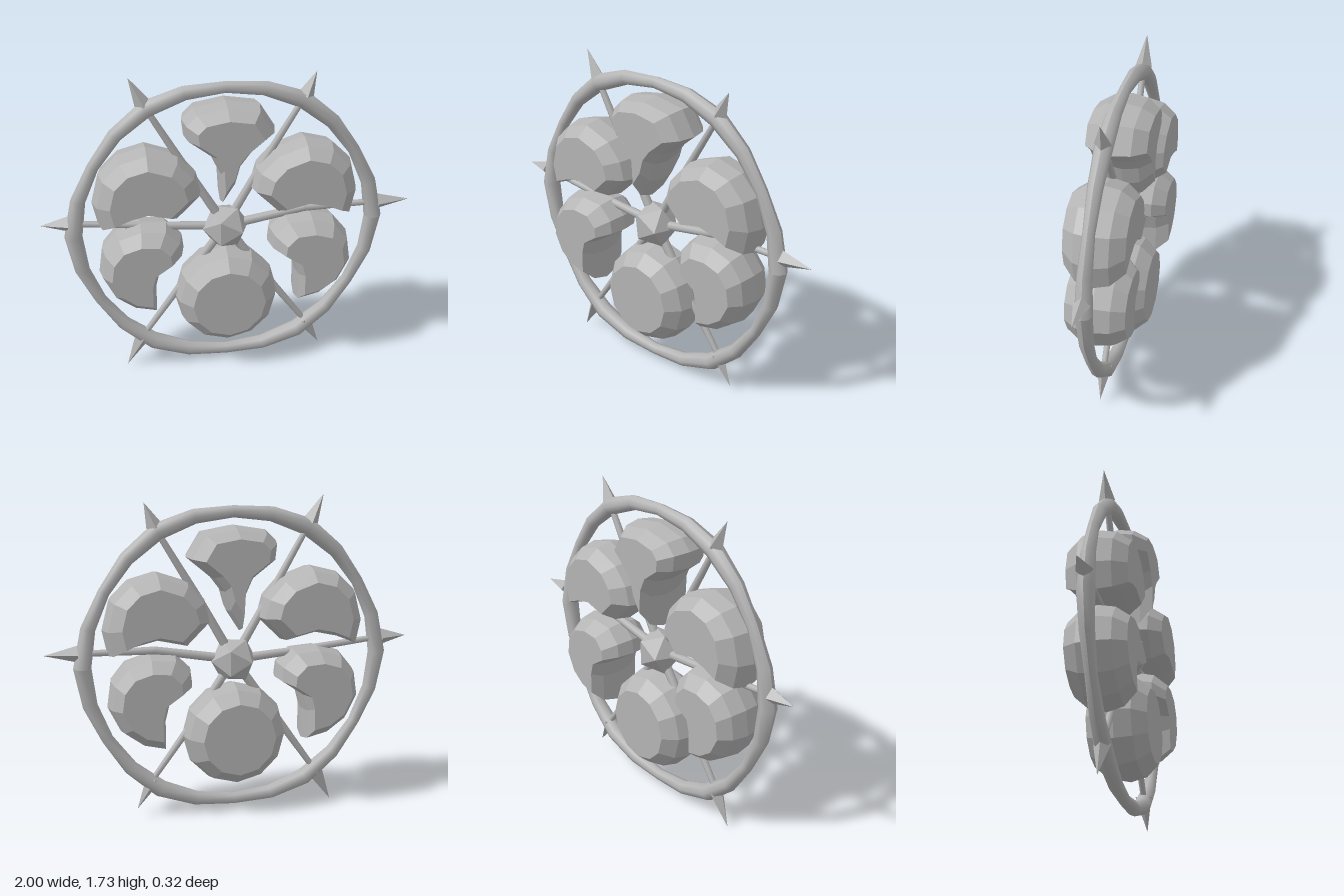
import * as THREE from 'three';

const stone = new THREE.MeshStandardMaterial({ color: 0xb4b4b4 });
stone.name = 'grey';

function addMesh(parent, name, geometry) {
  const mesh = new THREE.Mesh(geometry, stone);
  mesh.name = name;
  parent.add(mesh);
  return mesh;
}

function flat(geometry) {
  const g = geometry.index ? geometry.toNonIndexed() : geometry;
  g.computeVertexNormals();
  return g;
}

// Tapered rod between two points
function rod(parent, name, a, b, r0, r1, sides, isFlat) {
  const from = new THREE.Vector3(a[0], a[1], 0);
  const dir = new THREE.Vector3(b[0], b[1], 0).sub(from);
  let g = new THREE.CylinderGeometry(r1, r0, dir.length(), sides);
  if (isFlat) g = flat(g);
  const mesh = addMesh(parent, name, g);
  mesh.position.copy(from).addScaledVector(dir, 0.5);
  mesh.quaternion.setFromUnitVectors(new THREE.Vector3(0, 1, 0), dir.normalize());
}

// Bevelled lobe: an outline shrunk toward its centre in layers, with flat caps
function lobeGeometry(outline, [cx, cy]) {
  const layers = [[-0.16, 0.7], [-0.09, 0.925], [0, 1], [0.09, 0.925], [0.16, 0.7]];
  const n = outline.length;
  const positions = [];
  const index = [];
  for (const [z, s] of layers) {
    for (const [x, y] of outline) positions.push(cx + (x - cx) * s, cy + (y - cy) * s, z);
  }
  for (let k = 0; k < layers.length - 1; k++) {
    for (let i = 0; i < n; i++) {
      const a = k * n + i, b = k * n + (i + 1) % n;
      index.push(a, b, b + n, a, b + n, a + n);
    }
  }
  const top = (layers.length - 1) * n;
  const points = outline.map(([x, y]) => new THREE.Vector2(x, y));
  for (const [a, b, c] of THREE.ShapeUtils.triangulateShape(points, [])) {
    index.push(top + a, top + b, top + c, a, c, b);
  }
  const g = new THREE.BufferGeometry();
  g.setAttribute('position', new THREE.Float32BufferAttribute(positions, 3));
  g.setIndex(index);
  return flat(g);
}

const mirrored = (outline) => outline.map(([x, y]) => [-x, y]).reverse();

export function createModel() {
  const model = new THREE.Group();
  model.name = 'spikedWheel';
  const wheel = new THREE.Group();
  wheel.name = 'wheel';
  wheel.position.set(-0.015, 0.853, 0);
  model.add(wheel);

  // Rim swells where each spike sits
  const rim = new THREE.TorusGeometry(1, 0.5, 8, 24);
  const p = rim.attributes.position;
  for (let i = 0; i < p.count; i++) {
    const x = p.getX(i), y = p.getY(i);
    const angle = Math.atan2(y, x);
    const swell = 0.008 * Math.cos(6 * angle);
    const tube = 0.04 + swell;
    const r = 0.808 + swell + (Math.hypot(x, y) - 1) * 2 * tube;
    p.setXYZ(i, r * Math.cos(angle), r * Math.sin(angle), p.getZ(i) * 2 * tube);
  }
  rim.computeVertexNormals();
  addMesh(wheel, 'rim', rim);

  // Hub with a triangular face toward the front
  const hub = addMesh(wheel, 'hub', new THREE.IcosahedronGeometry(0.13, 0));
  const normal = new THREE.Vector3(1, 1, 1).normalize();
  hub.geometry.applyQuaternion(
    new THREE.Quaternion().setFromUnitVectors(normal, new THREE.Vector3(0, 0, 1)));
  // Turn it so that a corner lies on the horizontal axis
  const hp = hub.geometry.attributes.position;
  let far = 0;
  for (let i = 0; i < hp.count; i++) {
    if (Math.hypot(hp.getX(i), hp.getY(i)) > Math.hypot(hp.getX(far), hp.getY(far)) + 1e-5) far = i;
  }
  hub.geometry.rotateZ(-Math.atan2(hp.getY(far), hp.getX(far)));

  // Spokes (bent at a middle point) and spikes: base, tip, bend
  const arms = [
    [[0.84, 0.08], [1.015, 0.08], [0.43, 0.075]],
    [[0.42, 0.73], [0.475, 0.86], [0.2, 0.36]],
    [[-0.42, 0.73], [-0.493, 0.88], [-0.21, 0.36]],
    [[-0.84, 0.08], [-0.985, 0.08], [-0.3, 0.025]],
    [[-0.47, -0.67], [-0.563, -0.853], [-0.24, -0.34]],
    [[0.445, -0.64], [0.54, -0.813], [0.22, -0.33]],
  ];
  for (const [base, tip, bend] of arms) {
    rod(wheel, 'innerSpoke', [0, 0], bend, 0.026, 0.022, 8, false);
    rod(wheel, 'outerSpoke', bend, base, 0.022, 0.016, 8, false);
    rod(wheel, 'spike', base, tip, 0.045, 0, 4, true);
  }

  // Lobes: comma at the top, two mirrored pairs of crescents, disc at the bottom
  const comma = [[0.26, 0.57], [0.18, 0.7], [0, 0.73], [-0.17, 0.7], [-0.23, 0.64], [-0.22, 0.55],
    [-0.09, 0.45], [-0.04, 0.34], [-0.03, 0.16], [0.04, 0.27], [0.07, 0.38], [0.13, 0.46]];
  const upper = [[0.68, 0.06], [0.71, 0.2], [0.67, 0.36], [0.57, 0.46], [0.42, 0.5], [0.25, 0.44],
    [0.16, 0.34], [0.13, 0.23], [0.26, 0.1], [0.43, 0.14], [0.56, 0.11]];
  const lower = [[0.69, -0.22], [0.67, -0.08], [0.59, 0.02], [0.46, 0.06], [0.32, 0.05], [0.24, -0.03],
    [0.23, -0.11], [0.36, -0.2], [0.385, -0.3], [0.385, -0.47], [0.51, -0.44], [0.62, -0.36]];
  const disc = Array.from({ length: 12 }, (_, i) => {
    const a = i * Math.PI / 6;
    return [0.285 * Math.cos(a), -0.41 + 0.285 * Math.sin(a)];
  });
  addMesh(wheel, 'topLobe', lobeGeometry(comma, [0, 0.55]));
  addMesh(wheel, 'upperLeftLobe', lobeGeometry(upper, [0.42, 0.27]));
  addMesh(wheel, 'upperRightLobe', lobeGeometry(mirrored(upper), [-0.42, 0.27]));
  addMesh(wheel, 'lowerLeftLobe', lobeGeometry(lower, [0.49, -0.19]));
  addMesh(wheel, 'lowerRightLobe', lobeGeometry(mirrored(lower), [-0.49, -0.19]));
  addMesh(wheel, 'bottomLobe', lobeGeometry(disc, [0, -0.41]));
  return model;
}
